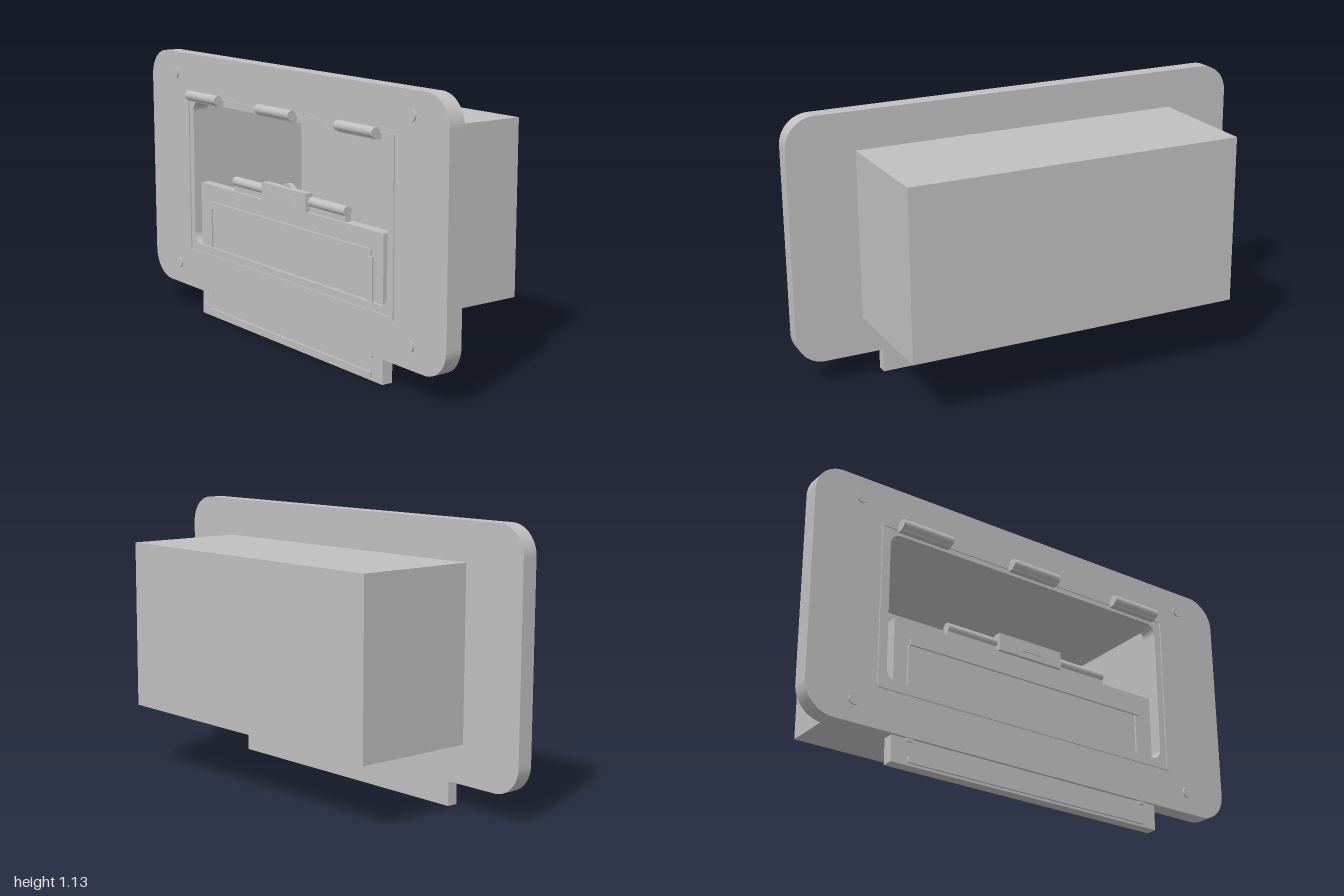
import * as THREE from 'three';

const grey = new THREE.MeshStandardMaterial({ color: 0xc0c0c0 });
grey.name = 'plain grey';

// Rounded rectangle outline; r = 0 gives sharp corners
function outline(path, x0, x1, y0, y1, r) {
  if (r === 0) {
    path.moveTo(x0, y0).lineTo(x1, y0).lineTo(x1, y1).lineTo(x0, y1).lineTo(x0, y0);
    return path;
  }
  path.moveTo(x0 + r, y0).lineTo(x1 - r, y0);
  path.absarc(x1 - r, y0 + r, r, -Math.PI / 2, 0);
  path.absarc(x1 - r, y1 - r, r, 0, Math.PI / 2);
  path.absarc(x0 + r, y1 - r, r, Math.PI / 2, Math.PI);
  path.absarc(x0 + r, y0 + r, r, Math.PI, Math.PI * 1.5);
  return path;
}

export function createModel() {
  const model = new THREE.Group();
  model.name = 'recessedHousing';

  const add = (name, geometry, parent = model) => {
    const mesh = new THREE.Mesh(geometry, grey);
    mesh.name = name;
    parent.add(mesh);
    return mesh;
  };
  const box = (name, x0, x1, y0, y1, z0, z1, parent) =>
    add(name, new THREE.BoxGeometry(x1 - x0, y1 - y0, z1 - z0), parent)
      .position.set((x0 + x1) / 2, (y0 + y1) / 2, (z0 + z1) / 2);
  const ring = (name, outer, inner, z0, z1) => {
    const shape = outline(new THREE.Shape(), ...outer);
    shape.holes.push(outline(new THREE.Path(), ...inner));
    add(name, new THREE.ExtrudeGeometry(shape, { depth: z1 - z0, bevelEnabled: false, curveSegments: 10 }))
      .position.z = z0;
  };

  // Front plate with its opening, and the hollow box behind it
  ring('frontPlate', [-1, 1, 0.105, 1.13, 0.12], [-0.665, 0.665, 0.31, 0.93, 0.045], 0.2, 0.27);
  ring('boxWalls', [-0.715, 0.715, 0.265, 0.97, 0], [-0.67, 0.67, 0.305, 0.935, 0], -0.3, 0.2);
  box('boxBack', -0.715, 0.715, 0.265, 0.97, -0.325, -0.3);

  // Thin bead around the opening
  for (const s of [-1, 1]) box('sideBead', s * 0.7 - 0.005, s * 0.7 + 0.005, 0.27, 0.96, 0.27, 0.275);
  for (const y of [0.275, 0.955]) box('crossBead', -0.695, 0.695, y - 0.005, y + 0.005, 0.27, 0.275);

  // Corner screws
  for (const x of [-0.8, 0.8]) for (const y of [0.195, 1.038]) {
    const geometry = new THREE.CylinderGeometry(0.022, 0.022, 0.012, 20).rotateX(Math.PI / 2);
    add('screw', geometry).position.set(x, y, 0.271);
  }

  // Upper hinge knuckles: round barrel with a short tail towards the plate
  const profile = new THREE.Shape();
  profile.moveTo(0.28, 0.935).lineTo(0.305, 0.935).lineTo(0.308, 0.942);
  profile.absarc(0.308, 0.96, 0.02, -Math.PI / 2, Math.PI * 0.9, false);
  profile.absarc(0.308, 0.96, 0.02, -Math.PI / 2, -Math.PI / 2, false);
  const tail = new THREE.Shape();
  tail.moveTo(0.28, 0.935).lineTo(0.305, 0.935).lineTo(0.31, 0.945).lineTo(0.295, 0.965).lineTo(0.28, 0.955);
  for (const x of [-0.525, 0, 0.525]) {
    const hinge = new THREE.Group();
    hinge.name = 'upperHinge';
    hinge.position.x = x;
    model.add(hinge);
    add('barrel', new THREE.CylinderGeometry(0.02, 0.02, 0.23, 24).rotateZ(Math.PI / 2), hinge)
      .position.set(0, 0.961, 0.306);
    add('tail', new THREE.ExtrudeGeometry(tail, { depth: 0.23, bevelEnabled: false })
      .translate(0, 0, -0.115).rotateY(-Math.PI / 2), hinge);
  }

  // Lowered door sliding through the plate, with raised trim
  const door = new THREE.Group();
  door.name = 'door';
  model.add(door);
  box('panel', -0.63, 0.627, 0, 0.58, 0.212, 0.258, door);
  box('topTrim', -0.56, 0.56, 0.485, 0.51, 0.257, 0.266, door);
  box('bottomTrim', -0.56, 0.56, 0.01, 0.035, 0.257, 0.266, door);
  for (const s of [-1, 1]) box('sideTrim', s * 0.555 - 0.015, s * 0.555 + 0.015, 0.092, 0.48, 0.257, 0.266, door);

  // Latch on the door's top edge
  add('latchRod', new THREE.CylinderGeometry(0.02, 0.02, 0.768, 24).rotateZ(Math.PI / 2), door)
    .position.set(0, 0.62, 0.238);
  box('rodSupport', -0.384, 0.384, 0.575, 0.618, 0.222, 0.248, door);
  box('latchPlate', -0.152, 0.152, 0.582, 0.655, 0.235, 0.268, door);
  box('latchSlot', -0.045, 0.045, 0.606, 0.622, 0.266, 0.272, door);
  add('latchKnob', new THREE.CylinderGeometry(0.05, 0.05, 0.02, 32).rotateX(Math.PI / 2), door)
    .position.set(0, 0.62, 0.238);

  return model;
}
